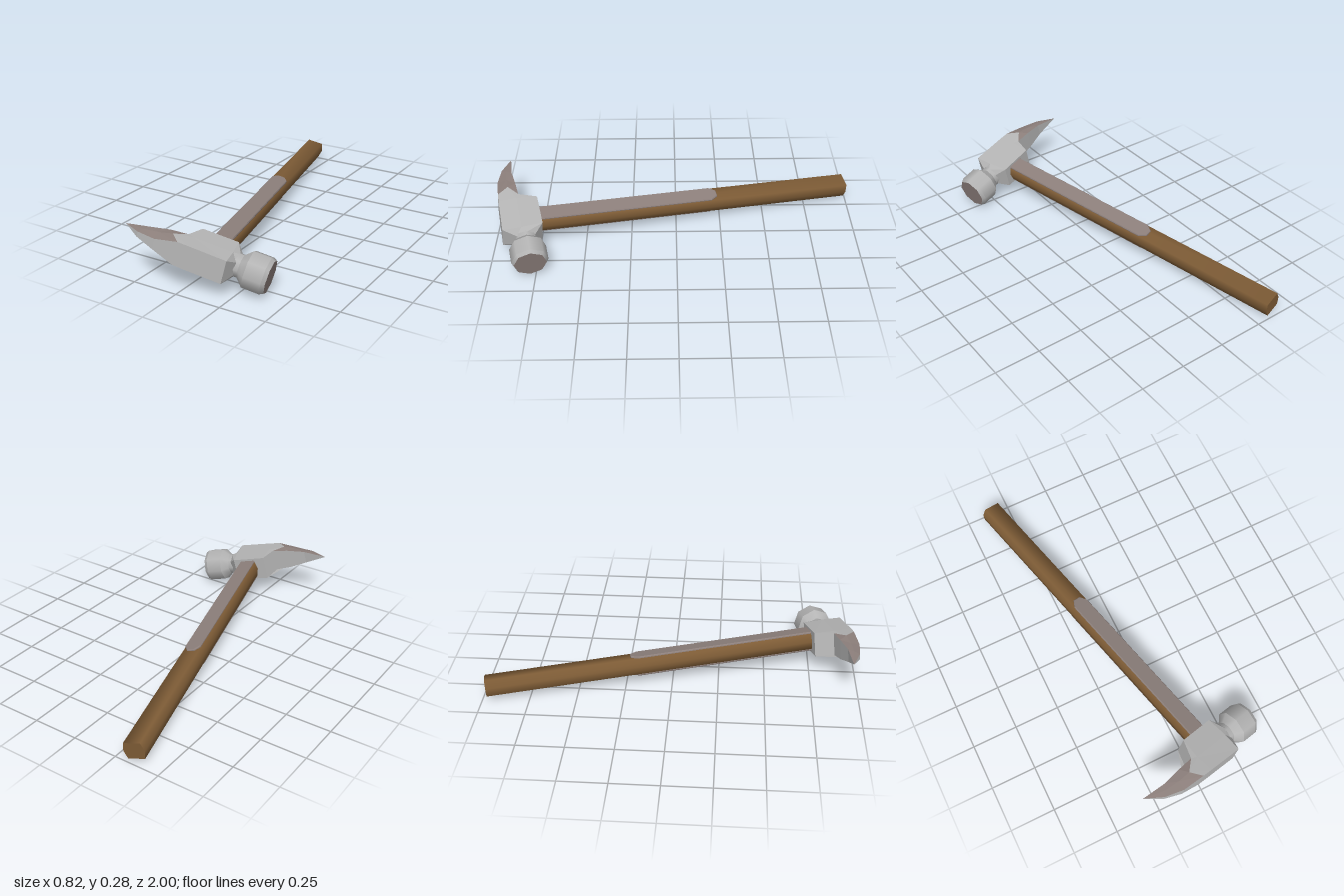
import * as THREE from 'three';
import { toCreasedNormals } from 'three/addons/utils/BufferGeometryUtils.js';

const mat = (name, color) => Object.assign(new THREE.MeshStandardMaterial({ color }), { name });

// Local axes: x along the head towards the striking face, y thickness, z along the handle to the head.
export function createModel() {
  const steel = mat('steel', 0xb4b4b4);
  const warmGrey = mat('warmGrey', 0x8c7f7b);
  const wood = mat('wood', 0x7e5c36);
  const hammer = new THREE.Group();
  hammer.name = 'hammer';
  const add = (name, geometry, material) => {
    const mesh = new THREE.Mesh(geometry, material);
    mesh.name = name;
    hammer.add(mesh);
    return mesh;
  };
  const shapeOf = pts => new THREE.Shape(pts.map(p => new THREE.Vector2(...p)));

  // Wooden handle with a six-sided section
  const section = shapeOf([[0.057, 0], [0.045, 0.045], [-0.045, 0.045], [-0.057, 0], [-0.045, -0.045], [0.045, -0.045]]);
  const handle = new THREE.ExtrudeGeometry(section, { depth: 1.85, bevelEnabled: false });
  add('handle', toCreasedNormals(handle, 1.4), wood);

  // Metal strap showing on the top and bottom of the handle
  const outline = shapeOf([[-0.041, 0.825], [-0.018, 0.79], [0.018, 0.79], [0.041, 0.825], [0.041, 1.84], [-0.041, 1.84]]);
  const strap = new THREE.ExtrudeGeometry(outline, {
    depth: 0.1, bevelSize: 0.004, bevelThickness: 0.005, bevelSegments: 1,
  });
  strap.translate(0, 0, -0.05).rotateX(Math.PI / 2);
  add('handleStrap', strap, warmGrey);

  // Head body and claw: each section lists front, middle and back as [x, z, half thickness]
  const sections = [
    [[0.13, 1.93, 0.035], [0.13, 1.88, 0.058], [0.13, 1.83, 0.035]],
    [[0.1, 2.0, 0.062], [0.097, 1.9, 0.066], [0.085, 1.785, 0.067]],
    [[-0.1, 1.996, 0.063], [-0.11, 1.9, 0.066], [-0.105, 1.787, 0.068]],
    [[-0.153, 1.994, 0.062], [-0.2, 1.935, 0.064], [-0.14, 1.885, 0.064]],
    [[-0.27, 1.983, 0.028], [-0.27, 1.935, 0.045], [-0.23, 1.89, 0.056]],
    [[-0.37, 1.948, 0.014], [-0.35, 1.925, 0.027], [-0.33, 1.898, 0.036]],
    [[-0.46, 1.884, 0], [-0.46, 1.884, 0], [-0.46, 1.884, 0]],
  ];
  const rings = sections.map(s => [
    ...s.map(([x, z, t]) => [x, t, z]),
    ...[...s].reverse().map(([x, z, t]) => [x, -t, z]),
  ]);
  const body = [], claw = [], cheeks = [];
  for (let k = 0; k + 1 < rings.length; k++) {
    for (let i = 0; i < 6; i++) {
      const a = rings[k], b = rings[k + 1], j = (i + 1) % 6;
      const isCheek = i !== 2 && i !== 5;
      const target = k < 3 ? body : isCheek ? cheeks : claw;
      target.push(...a[i], ...a[j], ...b[j]);
      if (k + 2 < rings.length) target.push(...a[i], ...b[j], ...b[i]);
    }
  }
  const faceted = list => {
    const g = new THREE.BufferGeometry();
    g.setAttribute('position', new THREE.Float32BufferAttribute(list, 3));
    g.computeVertexNormals();
    return g;
  };
  add('headBody', faceted(body), steel);
  add('clawFrontAndBack', faceted(claw), steel);
  add('clawCheeks', faceted(cheeks), warmGrey);

  // Neck and striking head: bands of [x start, x end, start radius, end radius]
  const bands = [
    ['neck', 0.105, 0.148, 0.062, 0.06],
    ['headFlare', 0.148, 0.187, 0.06, 0.098],
    ['strikingHead', 0.187, 0.278, 0.098, 0.098],
    ['faceBevel', 0.278, 0.297, 0.098, 0.087],
  ];
  for (const [name, x0, x1, r0, r1] of bands) {
    const g = new THREE.CylinderGeometry(r1, r0, x1 - x0, 8, 1, true);
    g.rotateZ(-Math.PI / 2).translate((x0 + x1) / 2, 0, 1.88);
    add(name, g, steel);
  }
  const face = new THREE.CircleGeometry(0.087, 8).rotateY(Math.PI / 2).translate(0.297, 0, 1.88);
  add('strikingFace', face, warmGrey);

  // Lay the hammer down, resting on its striking head and handle end
  const zAxis = new THREE.Vector3(0.244, 0.05, 0.968).normalize();
  const yAxis = zAxis.clone().cross(new THREE.Vector3(0.944, -0.243, -0.224)).normalize();
  const xAxis = yAxis.clone().cross(zAxis);
  hammer.quaternion.setFromRotationMatrix(new THREE.Matrix4().makeBasis(xAxis, yAxis, zAxis));
  hammer.position.set(-0.353, 0.064, -0.985);

  const model = new THREE.Group();
  model.add(hammer);
  return model;
}
